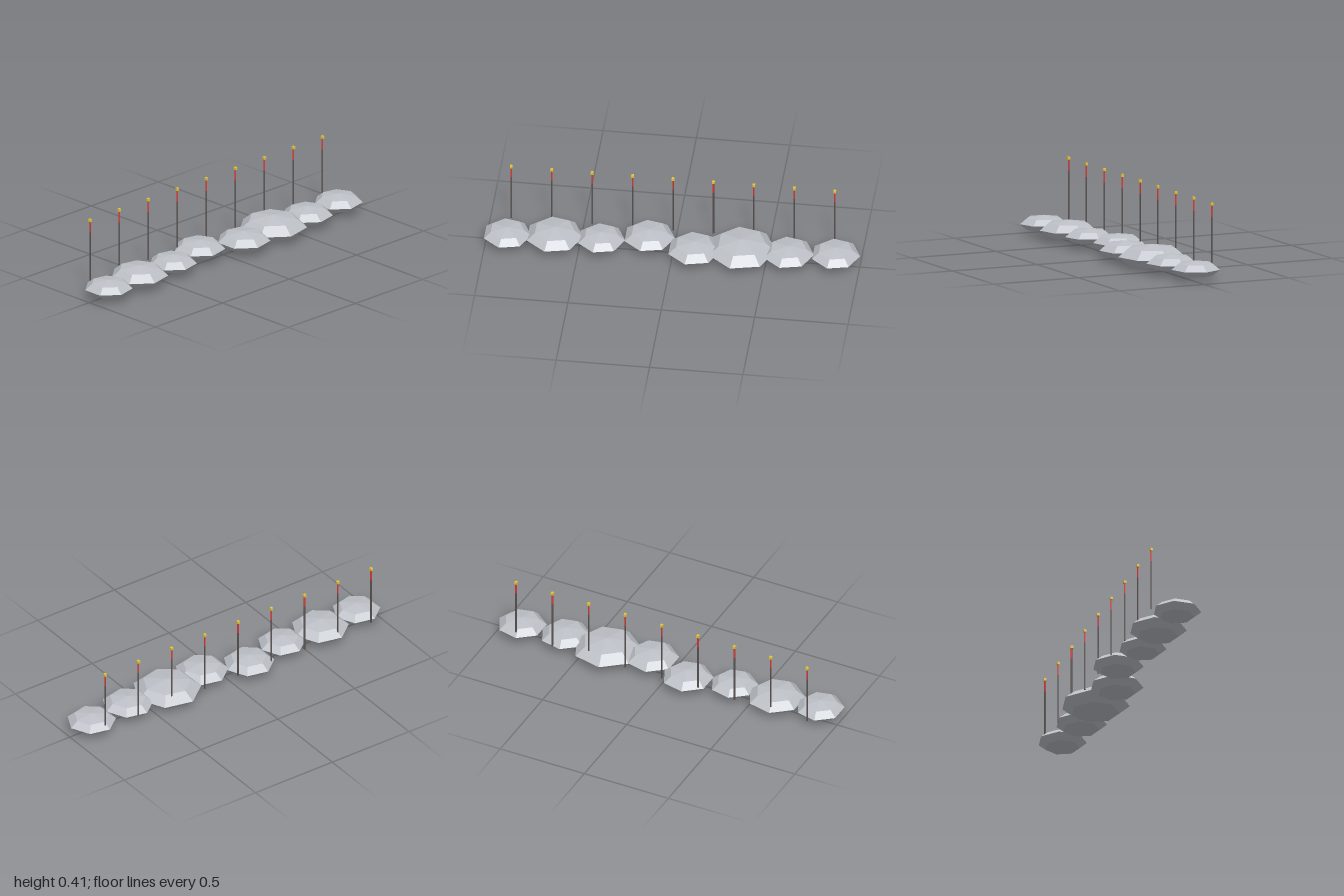
import * as THREE from 'three';

export function createModel() {
  const model = new THREE.Group();
  const mat = (name, color) => {
    const m = new THREE.MeshStandardMaterial({ color, flatShading: true });
    m.name = name;
    return m;
  };
  const stone = mat('stone grey', 0xbec2c8);
  const dark = mat('dark post', 0x5a5351);
  const red = mat('red band', 0xd43c3a);
  const yellow = mat('yellow cap', 0xe2c83e);

  const add = (parent, name, geometry, material, x, y, z) => {
    const mesh = new THREE.Mesh(geometry, material);
    mesh.name = name;
    mesh.position.set(x, y, z);
    parent.add(mesh);
    return mesh;
  };

  // Row of flattened seven-sided boulders: [radius, z]
  const boulders = [
    [0.13, 0.028], [0.155, 0.007], [0.129, 0.007], [0.138, -0.045],
    [0.144, 0.034], [0.185, 0], [0.138, 0.007], [0.132, -0.013],
  ];
  const boulderGeo = new THREE.SphereGeometry(1, 7, 4).rotateY(Math.PI);
  const rocks = new THREE.Group();
  rocks.name = 'boulders';
  model.add(rocks);
  boulders.forEach(([r, z], i) => {
    const rock = add(rocks, 'boulder', boulderGeo, stone, -0.885 + i * 0.2505, 0.064, z);
    rock.scale.set(r, r * 0.344, r);
  });

  // Evenly spaced marker posts behind the boulders
  const bottom = 0.062, bandStart = 0.336, top = 0.4;
  const pole = (from, to) => new THREE.CylinderGeometry(0.0045, 0.0045, to - from, 6);
  const postGeo = pole(bottom, bandStart);
  const bandGeo = pole(bandStart, top);
  const capGeo = new THREE.BoxGeometry(0.0145, 0.0145, 0.0145);
  for (let i = 0; i < 9; i++) {
    const marker = new THREE.Group();
    marker.name = 'markerPost';
    marker.position.set(-0.88 + i * 0.2165, 0, -0.115);
    add(marker, 'post', postGeo, dark, 0, (bottom + bandStart) / 2, 0);
    add(marker, 'redBand', bandGeo, red, 0, (bandStart + top) / 2, 0);
    add(marker, 'cap', capGeo, yellow, 0, top + 0.005, 0);
    model.add(marker);
  }
  return model;
}
